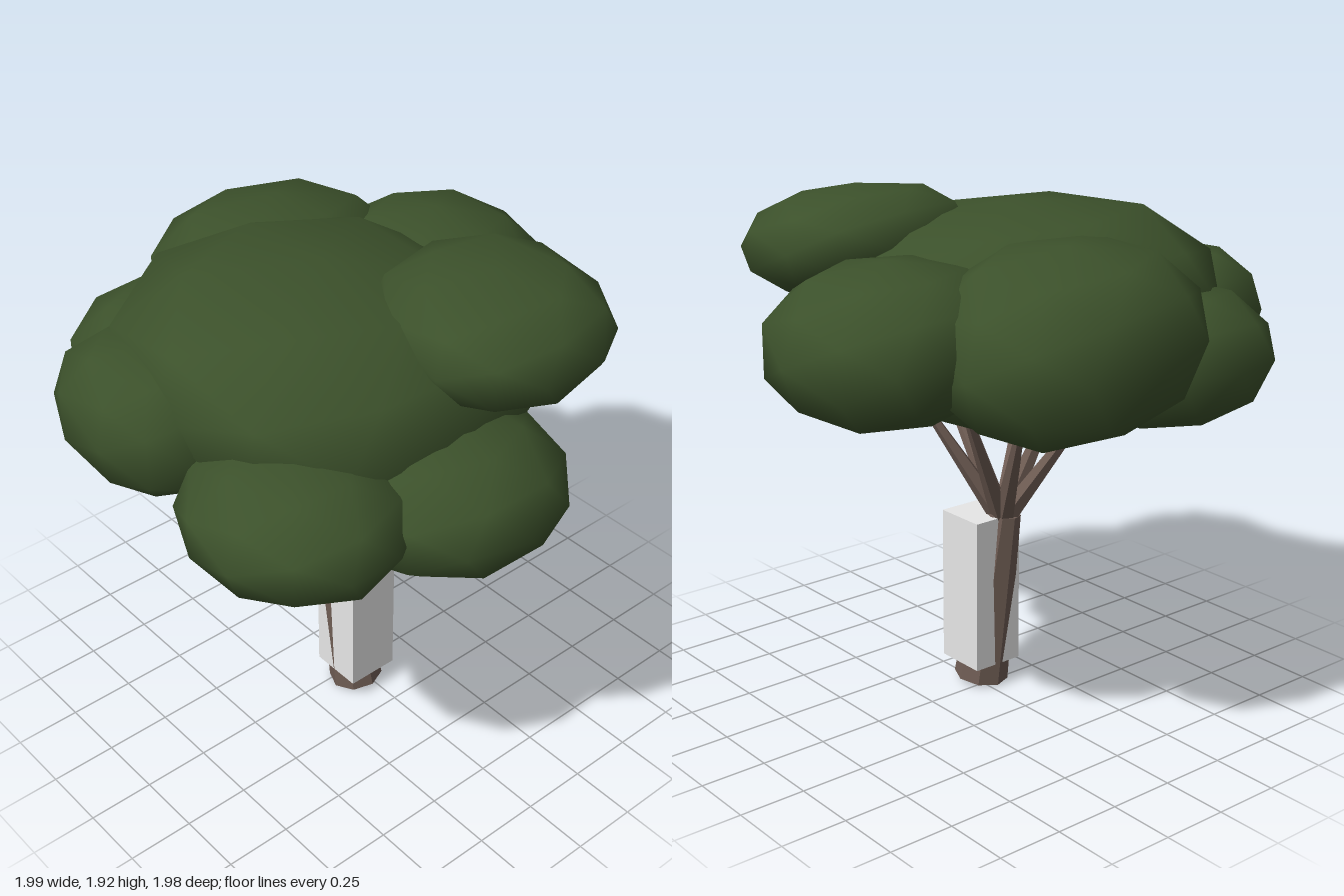
import * as THREE from 'three';
import { mergeVertices } from 'three/addons/utils/BufferGeometryUtils.js';

const leafGreen = new THREE.MeshStandardMaterial({ color: 0x3c512b });
leafGreen.name = 'leafGreen';
const barkBrown = new THREE.MeshStandardMaterial({ color: 0x6f5d54, flatShading: true });
barkBrown.name = 'barkBrown';
const guardGrey = new THREE.MeshStandardMaterial({ color: 0xe7e7e7 });
guardGrey.name = 'guardGrey';

// Tapered limb between two points
function limb(name, from, to, r0, r1, sides) {
  const a = new THREE.Vector3(...from), b = new THREE.Vector3(...to);
  const dir = b.clone().sub(a);
  const mesh = new THREE.Mesh(new THREE.CylinderGeometry(r1, r0, dir.length(), sides), barkBrown);
  mesh.name = name;
  mesh.position.copy(a).lerp(b, 0.5);
  mesh.quaternion.setFromUnitVectors(new THREE.Vector3(0, 1, 0), dir.normalize());
  return mesh;
}

// Squashed low-poly ball: power below 1 makes it boxier, slope leans it along x and z
function leafClump({ name, at, size, yaw = 0, power = 1, slope = [0, 0] }) {
  const ball = new THREE.IcosahedronGeometry(1, 1).rotateY(yaw);
  ball.deleteAttribute('uv');
  ball.deleteAttribute('normal');
  const geo = mergeVertices(ball, 0.001);
  const p = geo.attributes.position;
  const box = (v) => Math.sign(v) * Math.abs(v) ** power;
  for (let i = 0; i < p.count; i++) {
    const x = box(p.getX(i)) * size[0];
    const z = box(p.getZ(i)) * size[2];
    p.setXYZ(i, x, box(p.getY(i)) * size[1] + slope[0] * x + slope[1] * z, z);
  }
  geo.computeVertexNormals();
  const mesh = new THREE.Mesh(geo, leafGreen);
  mesh.name = name;
  mesh.position.set(...at);
  return mesh;
}

export function createModel() {
  const tree = new THREE.Group();
  tree.name = 'tree';

  // Leaning trunk with a square guard round it
  tree.add(limb('trunk', [0.05, 0.012, 0.03], [-0.02, 0.69, 0.085], 0.104, 0.064, 8));
  const guard = new THREE.Mesh(new THREE.BoxGeometry(0.206, 0.598, 0.206), guardGrey);
  guard.name = 'trunkGuard';
  guard.position.set(0.053, 0.388, 0.032);
  tree.add(guard);

  // Branches fanning out from the trunk top
  const branches = new THREE.Group();
  branches.name = 'branches';
  const ends = [
    [0.3, 1.03, 0.1], [0.18, 1.05, 0.34], [0.15, 1.11, -0.15], [-0.14, 1.16, -0.19],
    [-0.27, 1.11, -0.05], [-0.26, 1.1, 0.26], [-0.12, 1.16, 0.26],
  ];
  for (const end of ends) branches.add(limb('branch', [-0.02, 0.66, 0.08], end, 0.042, 0.016, 5));
  tree.add(branches);

  // Crown: one large clump ringed by smaller ones
  const crown = new THREE.Group();
  crown.name = 'crown';
  const clumps = [
    { name: 'crownCentre', at: [-0.04, 1.495, 0.11], size: [0.73, 0.39, 0.73], slope: [-0.04, 0.06], power: 0.9 },
    { name: 'clumpRight', at: [-0.6, 1.52, -0.14], size: [0.4, 0.31, 0.5], yaw: 0.15, power: 0.86, slope: [0.1, 0.09] },
    { name: 'clumpBack', at: [-0.21, 1.505, -0.58], size: [0.42, 0.275, 0.42], power: 0.92, slope: [0, 0.06] },
    { name: 'clumpTopLeft', at: [0.425, 1.715, -0.255], size: [0.39, 0.2, 0.41], yaw: 0.3, power: 0.85, slope: [-0.1, 0.02] },
    { name: 'clumpLeft', at: [0.58, 1.285, 0.09], size: [0.41, 0.255, 0.44], slope: [0, 0.02] },
    { name: 'clumpFrontLeft', at: [0.41, 1.325, 0.6], size: [0.42, 0.24, 0.38], yaw: 0.28 },
    { name: 'clumpFront', at: [-0.23, 1.445, 0.67], size: [0.38, 0.25, 0.32], yaw: 0.2, power: 0.82 },
    { name: 'clumpFrontRight', at: [-0.53, 1.38, 0.36], size: [0.4, 0.255, 0.4], power: 0.9 },
  ];
  for (const c of clumps) crown.add(leafClump(c));
  tree.add(crown);

  return tree;
}
